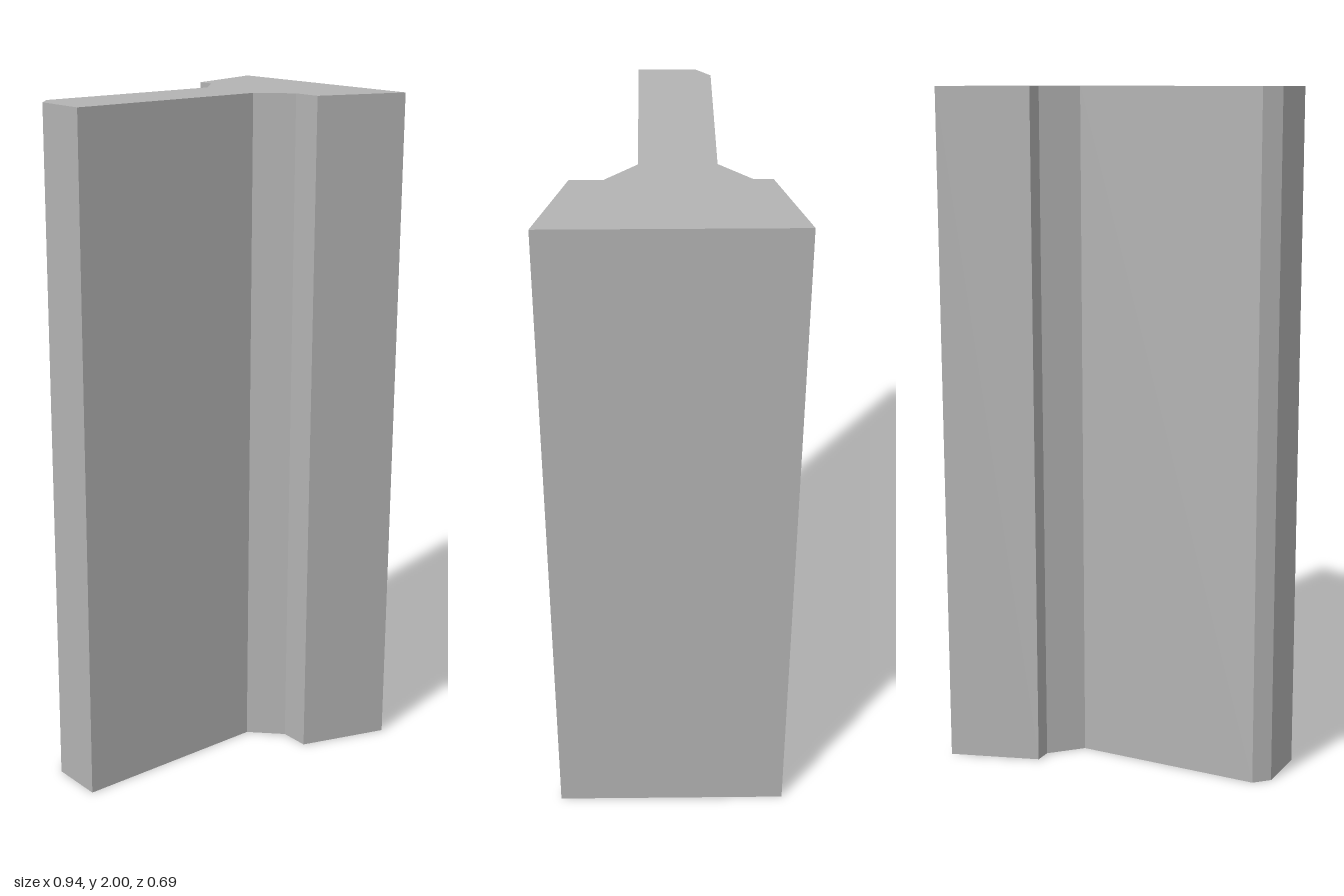
import * as THREE from 'three';

export function createModel() {
  const group = new THREE.Group();
  group.name = 'profileBar';
  const grey = new THREE.MeshStandardMaterial({ color: 0xb3b3b3 });
  grey.name = 'plain grey';

  // Cross-section seen from above, as (x, z)
  const outline = [
    [-0.472, 0.083], [0.129, 0.083], [0.214, 0.169], [0.214, 0.257], [0.472, 0.343],   // front side
    [0.472, -0.343], [0.214, -0.259], [0.214, -0.208], [0.129, -0.121],                // flared head, back side
    [-0.43, -0.121], [-0.472, -0.079],                                                 // chamfered web end
  ];
  const shape = new THREE.Shape(outline.map(([x, z]) => new THREE.Vector2(x, -z)));

  // Straight bar standing upright
  const geometry = new THREE.ExtrudeGeometry(shape, { depth: 2, bevelEnabled: false });
  geometry.rotateX(-Math.PI / 2);
  const bar = new THREE.Mesh(geometry, grey);
  bar.name = 'flaredBar';
  group.add(bar);
  return group;
}
